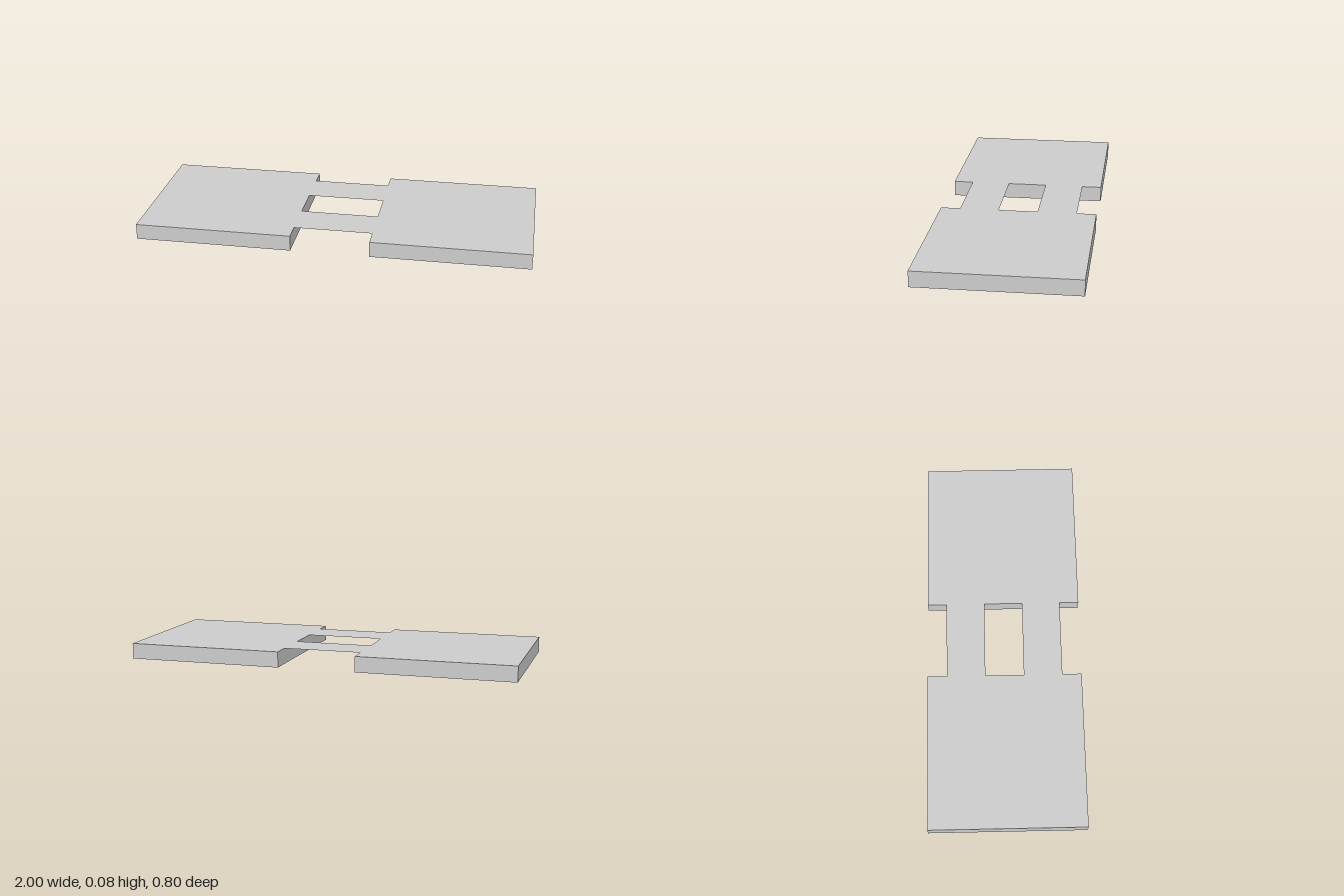
import * as THREE from 'three';

const HEIGHT = 0.08;

export function createModel() {
  const group = new THREE.Group();
  const solid = new THREE.MeshStandardMaterial({ color: 0xcccccc, flatShading: true });
  const thin = new THREE.MeshStandardMaterial({ color: 0xcccccc, side: THREE.DoubleSide });

  // Two square slabs, mirrored across x
  const slabGeometry = new THREE.BoxGeometry(0.8, HEIGHT, 0.8);
  for (const side of [-1, 1]) {
    const slab = new THREE.Mesh(slabGeometry, solid);
    slab.name = side > 0 ? 'leftSlab' : 'rightSlab';
    slab.position.set(side * 0.6, HEIGHT / 2, 0);
    group.add(slab);
  }

  // Two paper-thin straps joining the slabs, flush with their tops
  const strapGeometry = new THREE.PlaneGeometry(0.4, 0.2).rotateX(-Math.PI / 2);
  for (const side of [-1, 1]) {
    const strap = new THREE.Mesh(strapGeometry, thin);
    strap.name = side > 0 ? 'frontStrap' : 'backStrap';
    strap.position.set(0, HEIGHT, side * 0.2);
    group.add(strap);
  }

  return group;
}
